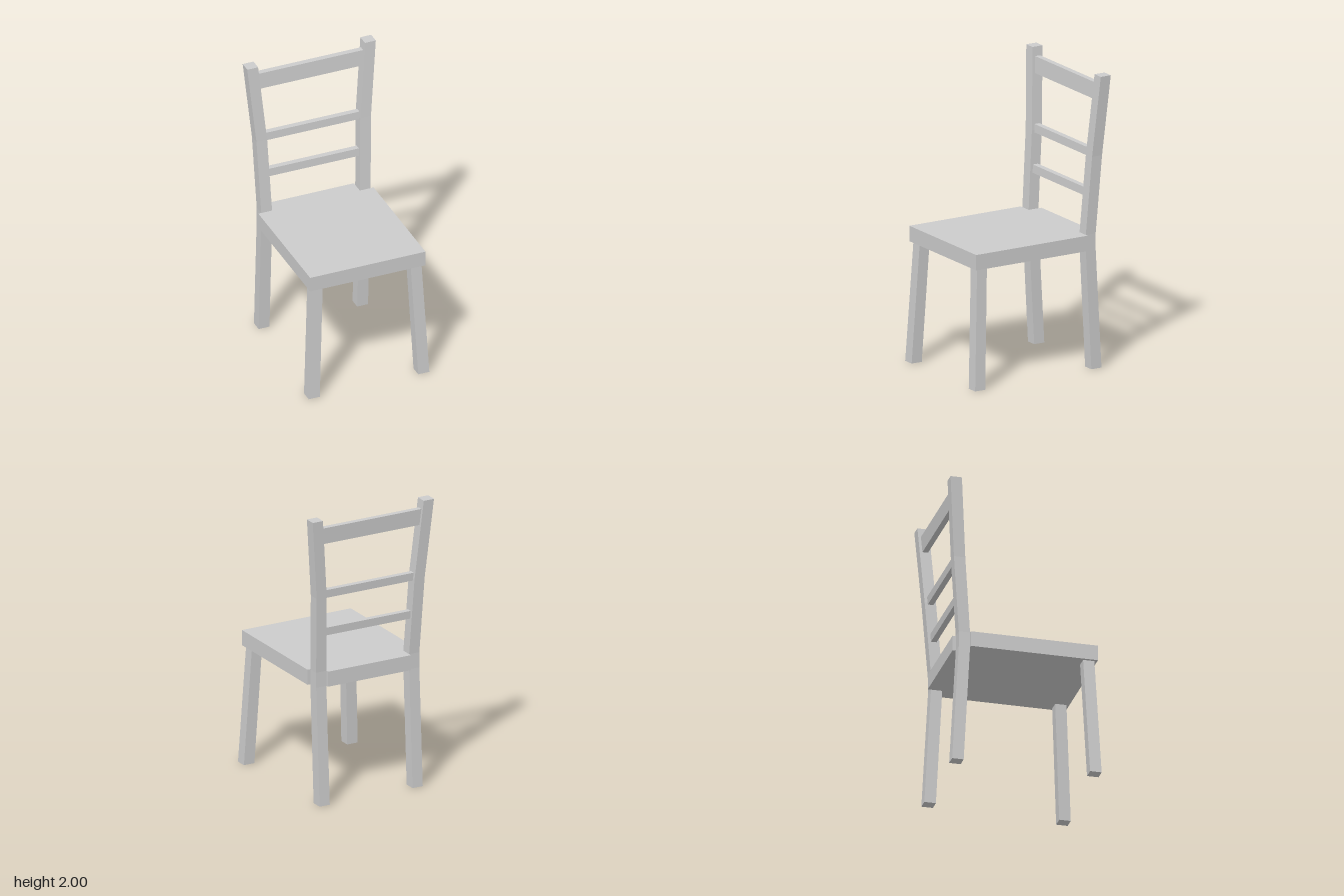
import * as THREE from 'three';

const material = new THREE.MeshStandardMaterial({ color: 0xcccccc, flatShading: true });

// Square-section bar through levels [y, xMin, xMax, zMin, zMax]; mirror = -1 gives the right-hand twin.
function bar(name, levels, mirror = 1) {
  const rings = levels.map(([y, x0, x1, z0, z1]) => {
    const [a, b] = mirror < 0 ? [-x1, -x0] : [x0, x1];
    return [[a, y, z1], [b, y, z1], [b, y, z0], [a, y, z0]];
  });
  const pos = [];
  const quad = (a, b, c, d) => pos.push(...a, ...b, ...c, ...a, ...c, ...d);
  for (let i = 0; i < rings.length - 1; i++) {
    for (let k = 0; k < 4; k++) {
      const n = (k + 1) % 4;
      quad(rings[i][k], rings[i][n], rings[i + 1][n], rings[i + 1][k]);
    }
  }
  quad(...rings[rings.length - 1]);
  quad(...[...rings[0]].reverse());
  const geometry = new THREE.BufferGeometry();
  geometry.setAttribute('position', new THREE.Float32BufferAttribute(pos, 3));
  geometry.computeVertexNormals();
  const mesh = new THREE.Mesh(geometry, material);
  mesh.name = name;
  return mesh;
}

export function createModel() {
  const chair = new THREE.Group();
  chair.name = 'chair';

  // Seat board, notched at the back corners for the posts
  const outline = [
    [-0.41, -0.495], [0.41, -0.495], [0.41, 0.365], [0.312, 0.365],
    [0.312, 0.463], [-0.312, 0.463], [-0.312, 0.365], [-0.41, 0.365],
  ].map(([x, y]) => new THREE.Vector2(x, y));
  const seatGeometry = new THREE.ExtrudeGeometry(new THREE.Shape(outline), { depth: 0.105, bevelEnabled: false });
  seatGeometry.rotateX(-Math.PI / 2).translate(0, 0.815, 0);
  const seat = new THREE.Mesh(seatGeometry, material);
  seat.name = 'seat';
  chair.add(seat);

  for (const [side, m] of [['left', 1], ['right', -1]]) {
    // Splayed front leg
    chair.add(bar(side + 'FrontLeg', [
      [0, 0.35, 0.429, 0.437, 0.515],
      [0.815, 0.313, 0.39, 0.4, 0.476],
    ], m));
    // Back leg and back post in one bent piece
    chair.add(bar(side + 'BackPost', [
      [0, 0.312, 0.389, -0.486, -0.408],
      [0.815, 0.312, 0.389, -0.441, -0.365],
      [0.92, 0.312, 0.389, -0.441, -0.365],
      [1.45, 0.331, 0.407, -0.479, -0.402],
      [2, 0.38, 0.457, -0.515, -0.438],
    ], m));
  }

  // Back slats, leaning with the posts: [name, bottom, top, half width at bottom, at top]
  const slats = [
    ['lowerSlat', 1.165, 1.22, 0.33, 0.332],
    ['middleSlat', 1.435, 1.49, 0.34, 0.345],
    ['topRail', 1.825, 1.937, 0.375, 0.384],
  ];
  const centreZ = (y) => -0.403 - 0.0695 * (y - 0.92);
  for (const [name, y0, y1, w0, w1] of slats) {
    chair.add(bar(name, [[y0, w0], [y1, w1]].map(
      ([y, w]) => [y, -w, w, centreZ(y) - 0.019, centreZ(y) + 0.019])));
  }
  return chair;
}
